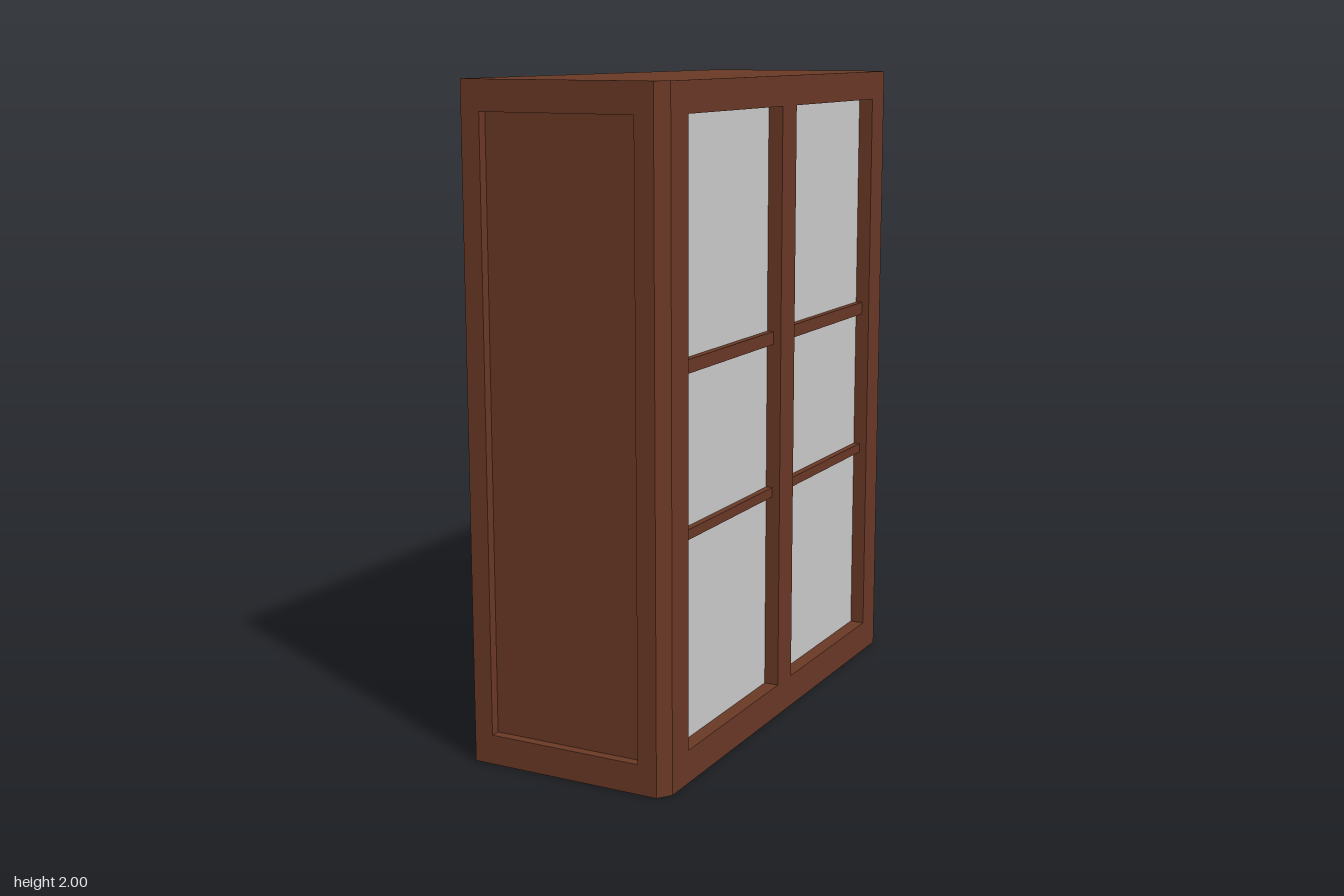
import * as THREE from 'three';

export function createModel() {
  const cabinet = new THREE.Group();
  cabinet.name = 'displayCabinet';
  const wood = new THREE.MeshStandardMaterial({ color: 0x693825 });
  const glass = new THREE.MeshStandardMaterial({ color: 0xcccccc });

  const H = 2, BACK = -0.32, FRONT = 0.32, SIDE = 0.8; // glazed face points to +x
  const CORE_X = 0.27, CORE_Z = 0.77;                  // depth of the recesses
  const BEVEL_X = 0.29, BEVEL_Z = 0.76;                // where the corner bevels begin

  function add(name, geometry, material = wood) {
    const mesh = new THREE.Mesh(geometry, material);
    mesh.name = name;
    cabinet.add(mesh);
    return mesh;
  }
  // Box given by its minimum and maximum corners
  function box(name, [x0, y0, z0], [x1, y1, z1], material) {
    add(name, new THREE.BoxGeometry(x1 - x0, y1 - y0, z1 - z0), material)
      .position.set((x0 + x1) / 2, (y0 + y1) / 2, (z0 + z1) / 2);
  }
  const polygon = pts => new THREE.Shape(pts.map(p => new THREE.Vector2(...p)));
  const rect = (x0, y0, x1, y1) => polygon([[x0, y0], [x1, y0], [x1, y1], [x0, y1]]);
  const extrude = (shape, depth) => new THREE.ExtrudeGeometry(shape, { depth, bevelEnabled: false });

  // Body: its sides form the recessed panels
  box('body', [BACK, 0, -CORE_Z], [CORE_X, H, CORE_Z]);

  for (const s of [1, -1]) {
    // Frame around the recessed end panel
    const endShape = rect(BACK, 0, BEVEL_X, H);
    endShape.holes.push(rect(-0.26, 0.09, 0.23, 1.91));
    const end = extrude(endShape, SIDE - CORE_Z);
    end.translate(0, 0, s > 0 ? CORE_Z : -SIDE);
    add(s > 0 ? 'frontEndFrame' : 'rearEndFrame', end);

    // Bevelled corner post
    const corner = polygon([
      [CORE_X, BEVEL_Z], [FRONT, BEVEL_Z], [BEVEL_X, SIDE], [BEVEL_X, CORE_Z], [CORE_X, CORE_Z],
    ].map(([x, z]) => [x, -s * z]));
    add(s > 0 ? 'frontCornerPost' : 'rearCornerPost', extrude(corner, H).rotateX(-Math.PI / 2));
  }

  // Door frame with two tall openings
  const doorShape = rect(-BEVEL_Z, 0, BEVEL_Z, H);
  for (const z of [-0.66, 0.05]) doorShape.holes.push(rect(z, 0.1, z + 0.61, 1.91));
  add('doorFrame', extrude(doorShape, FRONT - CORE_X).rotateY(Math.PI / 2).translate(CORE_X, 0, 0));

  // Panes and crossbars in each opening
  for (const z of [-0.66, 0.05]) {
    box('glassPane', [CORE_X - 0.01, 0.1, z], [CORE_X + 0.004, 1.91, z + 0.61], glass);
    for (const [y0, y1] of [[0.71, 0.74], [1.19, 1.23]]) {
      box('crossbar', [CORE_X, y0, z], [FRONT - 0.025, y1, z + 0.61]);
    }
  }
  return cabinet;
}
